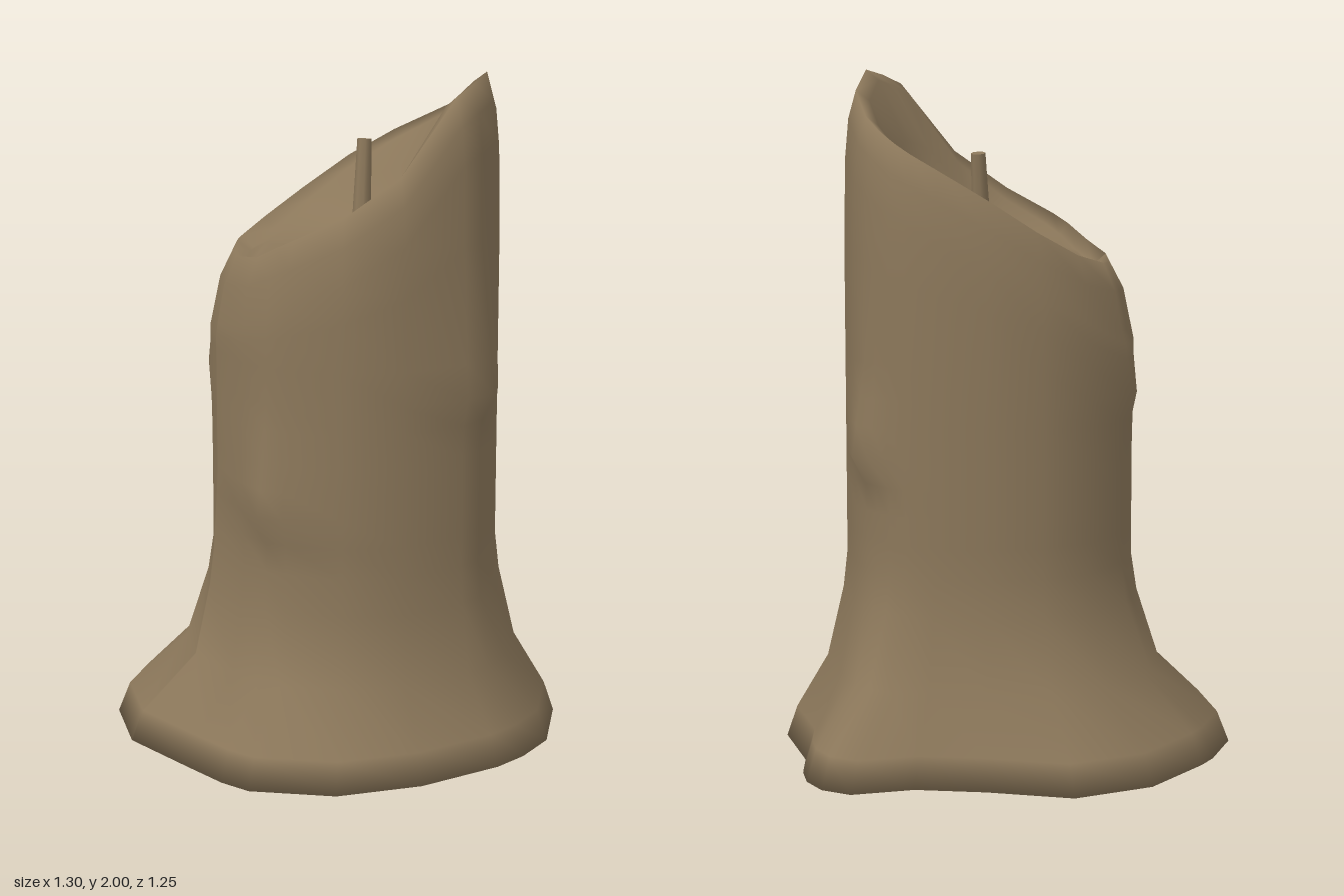
import * as THREE from 'three';

const CX = 0.045, CZ = 0.003, FLOOR = 1.46;

// Linear interpolation around a closed loop of [degrees, value] pairs
function around(table, deg) {
  const n = table.length;
  for (let i = 0; i < n; i++) {
    const [a, va] = table[i];
    let [b, vb] = table[(i + 1) % n];
    if (i === n - 1) b += 360;
    const d = deg < a ? deg + 360 : deg;
    if (d >= a && d <= b) return va + (vb - va) * (d - a) / (b - a);
  }
  return table[0][1];
}

// Outline of the wax puddle (x, z), turned into radius by angle
const puddle = [
  [0.65, 0.05], [0.58, 0.29], [0.40, 0.47], [0.16, 0.58], [-0.09, 0.62], [-0.33, 0.55],
  [-0.48, 0.36], [-0.63, 0.13], [-0.655, -0.12], [-0.54, -0.35], [-0.37, -0.54], [-0.14, -0.625],
  [0.10, -0.55], [0.30, -0.51], [0.48, -0.54], [0.56, -0.49], [0.60, -0.41], [0.60, -0.20],
].map(([x, z]) => [
  (Math.atan2(z - CZ, x - CX) * 180 / Math.PI + 360) % 360,
  Math.hypot(x - CX, z - CZ),
]).sort((a, b) => a[0] - b[0]);

// Height of the slanted rim by angle
const rim = [
  [0, 1.94], [28, 2.0], [48, 1.97], [62, 1.91], [84, 1.69], [115, 1.59], [150, 1.48], [180, 1.46],
  [210, 1.47], [240, 1.52], [265, 1.63], [290, 1.73], [320, 1.83], [340, 1.89],
];

// Column radius, foot spread and rim rounding by angle
const column = [[0, 0.42], [45, 0.435], [90, 0.43], [135, 0.43], [180, 0.412], [225, 0.43], [270, 0.412], [315, 0.43]];
const spread = [[0, 0.34], [60, 0.2], [90, 0.12], [120, 0.18], [180, 0.29], [270, 0.28]];
const rounding = [[28, 0.035], [120, 0.05], [190, 0.07], [270, 0.045]];

// Wax drips: angle, height of the tip, swell
const drips = [[42, 1.1, 0.05], [330, 0.93, 0.05], [133, 0.77, 0.045], [205, 1.08, 0.03], [170, 0.52, 0.02]];

function dripSwell(deg, y) {
  let s = 0;
  for (const [a, h, k] of drips) {
    const d = Math.abs(((deg - a + 540) % 360) - 180);
    const v = y > h ? 1 - (y - h) / 0.3 : 1 - (h - y) / 0.09;
    s += k * Math.max(0, 1 - d / 18) * Math.max(0, v);
  }
  return s;
}

// The columns of vertices follow the puddle corners and the drips
const angles = [...puddle, ...drips].map(([a]) => a).sort((a, b) => a - b);

// Each ring gives [radius, height] from puddle radius p, column radius c,
// rim height h, foot spread w and rim radius e
const rings = [
  () => [0, 0],
  ({ p }) => [p * 0.74, 0],
  ({ p }) => [p, 0.03],
  ({ p }) => [p * 0.95, 0.12],
  ({ p, c, w }) => [c + (p - c) * w, 0.28],
  ({ p, c, w }) => [c + (p - c) * w * 0.2, 0.49],
  ...[0.6, 0.69, 0.77, 0.85, 0.93, 1.02, 1.1, 1.2].map((y) => ({ c }) => [c, y]),
  ({ c, h }) => [c, 1.2 + (h - 1.4) * 0.6],
  ({ c, h }) => [c - 0.005, h - 0.19],
  ({ c, e, h }) => [c * 0.6 + e * 0.4, h - 0.08],
  ({ e, h }) => [e, h],
  ({ e, h }) => [e - 0.04, h - 0.03],
  ({ h }) => [0.27, FLOOR + (h - FLOOR) * 0.62],
  ({ h }) => [0.2, FLOOR + (h - FLOOR) * 0.3],
  ({ h }) => [0.1, FLOOR + (h - FLOOR) * 0.08],
  () => [0, FLOOR],
];

function waxGeometry() {
  const pos = [], index = [], n = angles.length;
  rings.forEach((ring, r) => {
    angles.forEach((deg, i) => {
      const c = around(column, deg);
      let [rad, y] = ring({
        p: around(puddle, deg), c, h: around(rim, deg),
        w: around(spread, deg), e: c - around(rounding, deg),
      });
      if (r >= 5 && r <= 14) rad += dripSwell(deg, y);
      const t = deg * Math.PI / 180;
      pos.push(CX + rad * Math.cos(t), y, CZ + rad * Math.sin(t));
      if (r === 0) return;
      const j = (i + 1) % n, lo = (r - 1) * n, up = r * n;
      if (r < rings.length - 1) index.push(lo + i, up + i, up + j);
      if (r > 1) index.push(lo + i, up + j, lo + j);
    });
  });
  const g = new THREE.BufferGeometry();
  g.setAttribute('position', new THREE.Float32BufferAttribute(pos, 3));
  g.setIndex(index);
  g.computeVertexNormals();
  return g;
}

export function createModel() {
  const group = new THREE.Group();
  group.name = 'meltedCandle';
  const wax = new THREE.MeshStandardMaterial({ color: 0x8b775a });
  wax.name = 'tan wax';

  // Melted body with puddle foot and hollow top
  const body = new THREE.Mesh(waxGeometry(), wax);
  body.name = 'waxBody';
  group.add(body);

  // Leaning wick
  const a = new THREE.Vector3(0.065, 1.44, -0.015), b = new THREE.Vector3(0.083, 1.775, -0.055);
  const dir = b.clone().sub(a);
  const wick = new THREE.Mesh(new THREE.CylinderGeometry(0.021, 0.03, dir.length(), 8), wax);
  wick.name = 'wick';
  wick.position.copy(a).add(b).multiplyScalar(0.5);
  wick.quaternion.setFromUnitVectors(new THREE.Vector3(0, 1, 0), dir.normalize());
  group.add(wick);

  return group;
}
